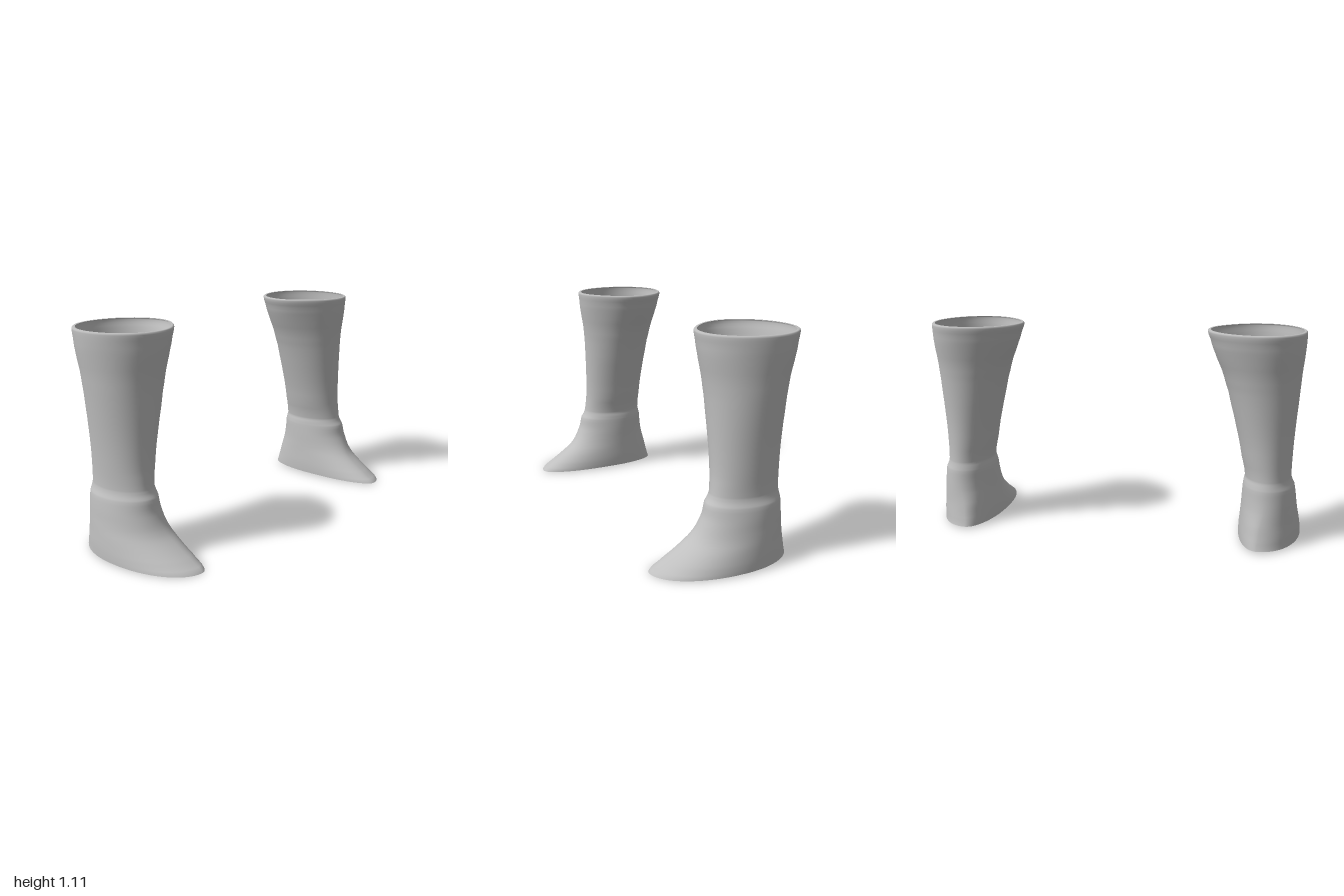
import * as THREE from 'three';

// Boot cross-sections, sole to rim:
// [height, inner x, outer x, x of front/back, front z, back z, z of widest point]
const SECTIONS = [
  [0.003, 0.673, 1.0, 0.79, 0.38, -0.34, 0.0],
  [0.03, 0.673, 0.999, 0.79, 0.337, -0.333, -0.01],
  [0.07, 0.675, 0.995, 0.795, 0.272, -0.323, -0.03],
  [0.12, 0.68, 0.988, 0.80, 0.2, -0.312, -0.05],
  [0.16, 0.684, 0.981, 0.81, 0.16, -0.303, -0.07],
  [0.2, 0.687, 0.975, 0.82, 0.135, -0.296, -0.08],
  [0.25, 0.69, 0.969, 0.825, 0.113, -0.29, -0.09],
  [0.305, 0.694, 0.96, 0.825, 0.102, -0.286, -0.1],
  [0.33, 0.698, 0.948, 0.825, 0.086, -0.28, -0.1],
  [0.355, 0.702, 0.942, 0.825, 0.077, -0.275, -0.1],
  [0.45, 0.682, 0.943, 0.815, 0.068, -0.279, -0.1],
  [0.6, 0.651, 0.95, 0.80, 0.07, -0.29, -0.11],
  [0.8, 0.602, 0.964, 0.78, 0.08, -0.315, -0.12],
  [0.9, 0.57, 0.971, 0.77, 0.091, -0.333, -0.13],
  [1.0, 0.529, 0.981, 0.765, 0.108, -0.358, -0.14],
  [1.06, 0.508, 0.985, 0.76, 0.115, -0.371, -0.14],
  [1.1, 0.493, 0.986, 0.76, 0.12, -0.38, -0.14],
];
const SIDES = 64;
const STEPS = 3;

// Smooth in-between sections
function refine(rows) {
  const out = [];
  for (let i = 0; i < rows.length - 1; i++) {
    for (let k = 0; k < STEPS; k++) {
      const f = k / STEPS;
      out.push(rows[i].map((v, c) => {
        const next = rows[i + 1][c];
        const m0 = (next - rows[Math.max(i - 1, 0)][c]) / 2;
        const m1 = (rows[Math.min(i + 2, rows.length - 1)][c] - v) / 2;
        if (c === 0) return v + (next - v) * f;
        const f2 = f * f, f3 = f2 * f;
        return (2 * f3 - 3 * f2 + 1) * v + (f3 - 2 * f2 + f) * m0
          + (3 * f2 - 2 * f3) * next + (f3 - f2) * m1;
      }));
    }
  }
  out.push(rows[rows.length - 1]);
  return out;
}

// Section shrunk by an inset, for the rolled rim
const inset = ([, xi, xo, cx, zf, zb, cz], y, d) =>
  [y, xi + d, xo - d, cx, zf - d, zb + d, cz];

function bootGeometry(side) {
  const last = SECTIONS[SECTIONS.length - 1];
  const rows = [...refine(SECTIONS), inset(last, 1.107, 0.001),
    inset(last, 1.111, 0.006), inset(last, 1.11, 0.016)];
  const positions = [], indices = [];
  rows.forEach(([y, xi, xo, cx, zf, zb, cz], r) => {
    for (let j = 0; j < SIDES; j++) {
      const t = (j / SIDES) * Math.PI * 2;
      const c = Math.cos(t), s = Math.sin(t);
      // the inner front of the shaft is slightly flattened towards the top
      const flat = c < 0 && s > 0
        ? 1 - 0.05 * Math.sin(2 * t) ** 2 * THREE.MathUtils.smoothstep(y, 0.7, 1.1) : 1;
      const x = cx + (c > 0 ? xo - cx : cx - xi) * c * flat;
      const z = cz + (s > 0 ? zf - cz : cz - zb) * s * flat;
      // the sole opening arches a little behind the toe
      const lift = r === 0 ? -0.003 + 0.009 * Math.min(1, 1 - s) : 0;
      positions.push(side * x, y + lift, z);
      if (r < rows.length - 1) {
        const n = (j + 1) % SIDES;
        const a = r * SIDES + j, b = r * SIDES + n, d = a + SIDES, e = b + SIDES;
        if (side > 0) indices.push(a, d, b, b, d, e);
        else indices.push(a, b, d, b, e, d);
      }
    }
  });
  const geometry = new THREE.BufferGeometry();
  geometry.setAttribute('position', new THREE.Float32BufferAttribute(positions, 3));
  geometry.setIndex(indices);
  geometry.computeVertexNormals();
  return geometry;
}

export function createModel() {
  const group = new THREE.Group();
  group.name = 'pairOfBoots';
  const material = new THREE.MeshStandardMaterial({ color: 0xbfbfbf, side: THREE.DoubleSide });
  material.name = 'light grey';
  // Mirrored pair of open boot shells
  for (const side of [1, -1]) {
    const boot = new THREE.Mesh(bootGeometry(side), material);
    boot.name = side > 0 ? 'leftBoot' : 'rightBoot';
    group.add(boot);
  }
  return group;
}
